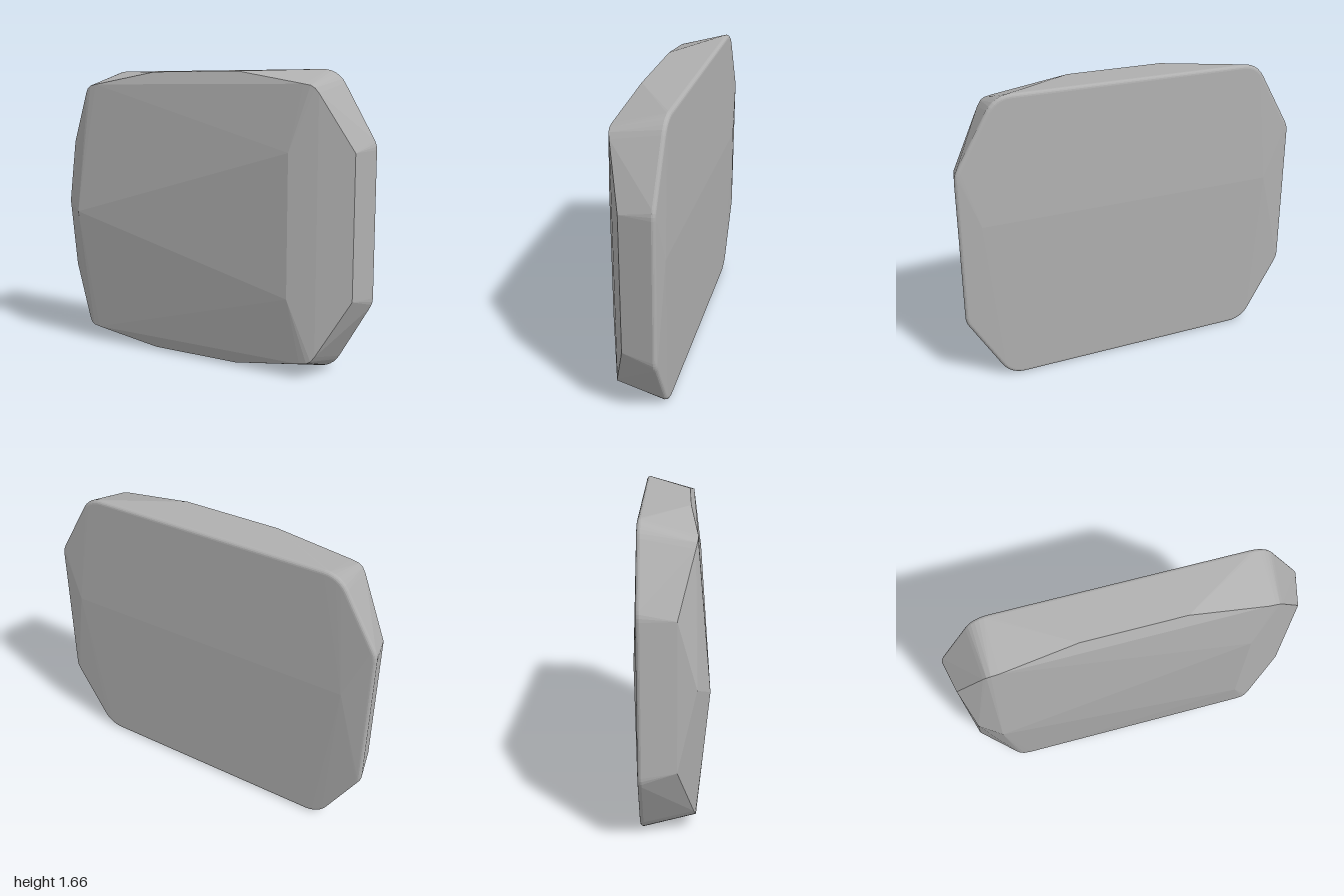
import * as THREE from 'three';
import { ConvexGeometry } from 'three/addons/geometries/ConvexGeometry.js';

const MID = 0.8325; // half of the height

// Adds a point and its mirror images in x and in height.
function addMirrored(list, x, dy, z) {
  for (const sx of [1, -1]) for (const sy of [1, -1]) {
    list.push(new THREE.Vector3(sx * x, MID + sy * dy, z));
  }
}

// Rounded octagonal outline, inset by a distance, at depth z.
function addOutline(list, inset, z) {
  const corners = [
    { x: 0.68, dy: 0.6825, r: 0.15, from: 90, to: 30, steps: 6 },
    { x: 0.89, dy: 0.4025, r: 0.11, from: 30, to: 0, steps: 3 },
  ];
  for (const c of corners) {
    for (let i = 0; i <= c.steps; i++) {
      const a = THREE.MathUtils.degToRad(c.from + (c.to - c.from) * i / c.steps);
      const r = c.r - inset;
      addMirrored(list, c.x + r * Math.cos(a), c.dy + r * Math.sin(a), z);
    }
  }
}

export function createModel() {
  const group = new THREE.Group();
  group.name = 'facetedSlab';
  const grey = new THREE.MeshStandardMaterial({ color: 0xb0b0b0, flatShading: true });
  grey.name = 'plainGrey';

  const points = [];

  // Rounded back edge
  for (let i = 0; i <= 4; i++) {
    const a = (i / 4) * Math.PI / 2;
    addOutline(points, 0.02 * (1 - Math.cos(a)), -0.152 - 0.02 * Math.sin(a));
  }

  // Front rim: sides, softened corners, top and bottom
  addMirrored(points, 0.958, 0.395, 0.025);
  addMirrored(points, 0.785, 0.703, 0.112);
  addMirrored(points, 0.765, 0.73, 0.12);
  addMirrored(points, 0.742, 0.744, 0.124);
  addMirrored(points, 0.7, 0.752, 0.125);
  addMirrored(points, 0.28, 0.823, 0.095);

  // Crown of the front, lopsided: a ridge at one end, a flat bevel at the other
  points.push(
    new THREE.Vector3(-0.8, 0.81, 0.19),
    new THREE.Vector3(-0.92, 0.865, 0.122),
    new THREE.Vector3(0.64, 1.225, 0.17),
    new THREE.Vector3(0.64, 0.44, 0.17),
  );

  // Shallow ridge across the back
  points.push(
    new THREE.Vector3(0.88, 0.97, -0.19),
    new THREE.Vector3(-0.84, 0.97, -0.19),
  );

  const slab = new THREE.Mesh(new ConvexGeometry(points), grey);
  slab.name = 'slab';
  group.add(slab);
  return group;
}
